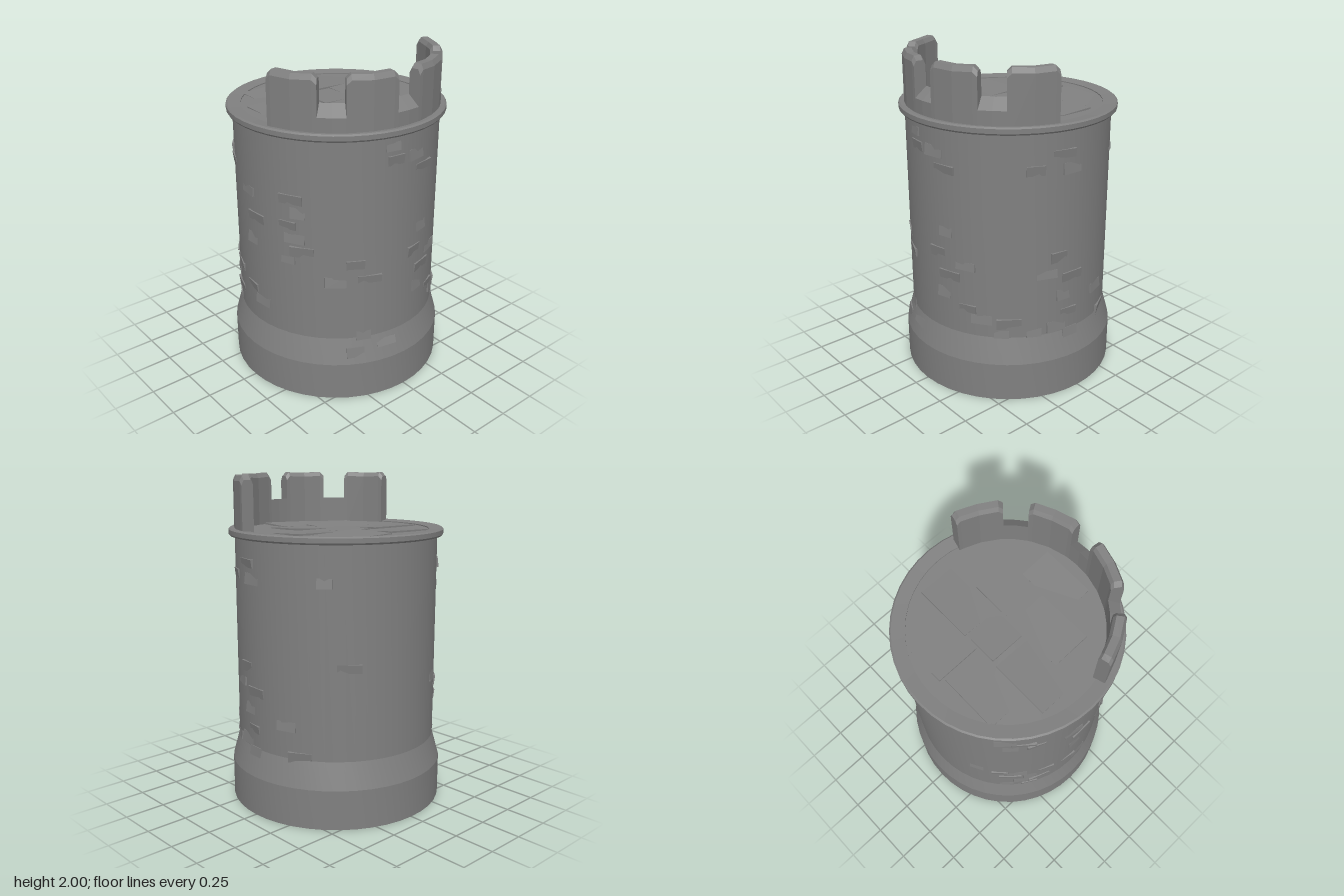
import * as THREE from 'three';
import { toCreasedNormals } from 'three/addons/utils/BufferGeometryUtils.js';

const rad = THREE.MathUtils.degToRad;

// Surface of revolution with crisp profile edges
function turned(points) {
  const lathe = new THREE.LatheGeometry(points.map(([r, y]) => new THREE.Vector2(r, y)), 44);
  return toCreasedNormals(lathe, 0.2);
}

// Closed solid swept round the tower: each station is { deg, profile: [[r, y], ...] },
// the profile running outer bottom, outer top, inner top, inner bottom
function arcSolid(stations) {
  const pos = [];
  const at = (i, j) => {
    const { deg, profile } = stations[i];
    const [r, y] = profile[j % profile.length];
    return [r * Math.sin(rad(deg)), y, r * Math.cos(rad(deg))];
  };
  const tri = (...corners) => corners.forEach((c) => pos.push(...c));
  const n = stations[0].profile.length;
  const last = stations.length - 1;
  for (let i = 0; i < last; i++) {
    for (let j = 0; j < n; j++) {
      tri(at(i, j), at(i + 1, j), at(i + 1, j + 1));
      tri(at(i, j), at(i + 1, j + 1), at(i, j + 1));
    }
  }
  for (let j = 1; j < n - 1; j++) {
    tri(at(0, 0), at(0, j), at(0, j + 1));
    tri(at(last, 0), at(last, j + 1), at(last, j));
  }
  const geo = new THREE.BufferGeometry();
  geo.setAttribute('position', new THREE.Float32BufferAttribute(pos, 3));
  geo.computeVertexNormals();
  return geo;
}

// Bevelled cross-section of a merlon
const merlonProfile = (top) => [
  [0.617, 1.67], [0.617, top - 0.03], [0.602, top], [0.56, top], [0.545, top - 0.025], [0.545, 1.67],
];
// Sill between merlons, sloping down outwards
const sillProfile = [[0.617, 1.67], [0.617, 1.77], [0.545, 1.83], [0.545, 1.67]];

// Outer radius of the tower at a given height
function wallRadius(y) {
  if (y >= 0.4) return 0.616;
  return 0.616 + 0.044 * Math.min(1, (0.4 - y) / 0.16);
}

export function createModel() {
  const tower = new THREE.Group();
  tower.name = 'tower';
  const stone = new THREE.MeshStandardMaterial({ color: 0x808080 });
  stone.name = 'grey stone';

  function add(name, geometry, parent = tower) {
    const mesh = new THREE.Mesh(geometry, stone);
    mesh.name = name;
    parent.add(mesh);
    return mesh;
  }
  function addGroup(name) {
    const group = new THREE.Group();
    group.name = name;
    tower.add(group);
    return group;
  }

  // Plinth, wall, rim and roof floor
  add('plinth', turned([[0, 0], [0.66, 0], [0.66, 0.24], [0.616, 0.4]]));
  add('wall', turned([[0.616, 0.4], [0.616, 1.65]]));
  add('rim', turned([[0.61, 1.645], [0.645, 1.645], [0.652, 1.655], [0.652, 1.682],
    [0.642, 1.69], [0.565, 1.682], [0.565, 1.676]]));
  add('roofFloor', turned([[0.57, 1.676], [0, 1.676]]));

  // Parapet along the front half: four merlons and three sills
  const parapet = addGroup('parapet');
  for (const [from, to] of [[-76.5, -49], [-34.5, -7], [7, 34.5], [49, 76.5]]) {
    const mid = (from + to) / 2;
    add('merlon', arcSolid([
      { deg: from, profile: merlonProfile(1.975) },
      { deg: from + 2.5, profile: merlonProfile(2) },
      { deg: mid, profile: merlonProfile(1.995) },
      { deg: to - 2.5, profile: merlonProfile(2) },
      { deg: to, profile: merlonProfile(1.975) },
    ]), parapet);
  }
  for (const [from, to] of [[-49, -34.5], [-7, 7], [34.5, 49]]) {
    add('sill', arcSolid([from, (from + to) / 2, to].map((deg) => ({ deg, profile: sillProfile }))), parapet);
  }

  // Worn bricks, each tilted so that only some edges stand out: [angle, height]
  const bricks = [
    // front
    [-9, 1.58], [-7, 1.5], [7, 1.5], [14, 1.41], [14, 1.03], [8, 0.89], [26, 0.84], [16, 0.76],
    [12, 0.64], [27, 0.57], [35, 0.51], [50, 0.49], [46, 0.42], [-29, 0.89], [-40, 0.78],
    [-21, 0.79], [-24, 0.41], [-29, 0.31], [-11, 0.34], [-64, 1.28], [-60, 1.2], [-66, 1.12],
    [-62, 1.04], [-58, 0.96], [-66, 0.9],
    // left
    [64, 1.43], [85, 1.42], [80, 1.51], [131, 1.43], [78, 0.89], [71, 0.79], [87, 0.75],
    [81, 0.64], [85, 0.52], [109, 0.59], [117, 0.41], [64, 0.42], [86, 0.38], [77, 0.44],
    [144, 0.95],
    // back and right
    [208, 0.8], [222, 0.74], [232, 0.73], [228, 0.64], [240, 0.62], [250, 0.68], [236, 0.53],
    [246, 0.51], [226, 0.45], [240, 0.42], [225, 1.48], [235, 1.42], [228, 1.36], [242, 1.35],
    [265, 1.25], [272, 1.1], [268, 0.95], [266, 0.62], [275, 0.55],
  ];
  const brickwork = addGroup('brickwork');
  bricks.forEach(([deg, y], k) => {
    const width = 0.09 + 0.018 * (k % 4);
    const height = 0.05 + 0.008 * (k % 3);
    const holder = new THREE.Group();
    holder.rotation.y = rad(deg);
    brickwork.add(holder);
    const brick = add('brick', new THREE.BoxGeometry(width, height, 0.02), holder);
    brick.position.set(0, y, wallRadius(y) - 0.008);
    const lean = y < 0.4 ? -0.27 : 0;
    brick.rotation.set(lean + (k % 2 ? 0.13 : -0.13), (k % 3 - 1) * 0.07, 0);
  });

  // Uneven paving slabs: [x, z, width, depth, tilt about x, tilt about z]
  const slabs = [
    [0.01, -0.09, 0.21, 0.22, 0.02, -0.03],
    [-0.31, -0.095, 0.36, 0.23, 0.05, 0.01],
    [-0.17, 0.15, 0.35, 0.24, -0.05, -0.02],
    [0.17, 0.15, 0.24, 0.23, 0.03, 0.05],
    [0.3, -0.1, 0.36, 0.22, 0.04, 0.02],
    [0.21, -0.35, 0.38, 0.27, -0.02, -0.03],
    [0.01, 0.38, 0.33, 0.2, -0.06, 0.03],
    [-0.18, -0.34, 0.36, 0.24, 0.05, 0.02],
  ];
  const paving = addGroup('paving');
  for (const [x, z, width, depth, tiltX, tiltZ] of slabs) {
    const slab = add('slab', new THREE.BoxGeometry(width, 0.01, depth), paving);
    slab.position.set(x, 1.675, z);
    slab.rotation.set(tiltX, 0, tiltZ);
  }

  return tower;
}
